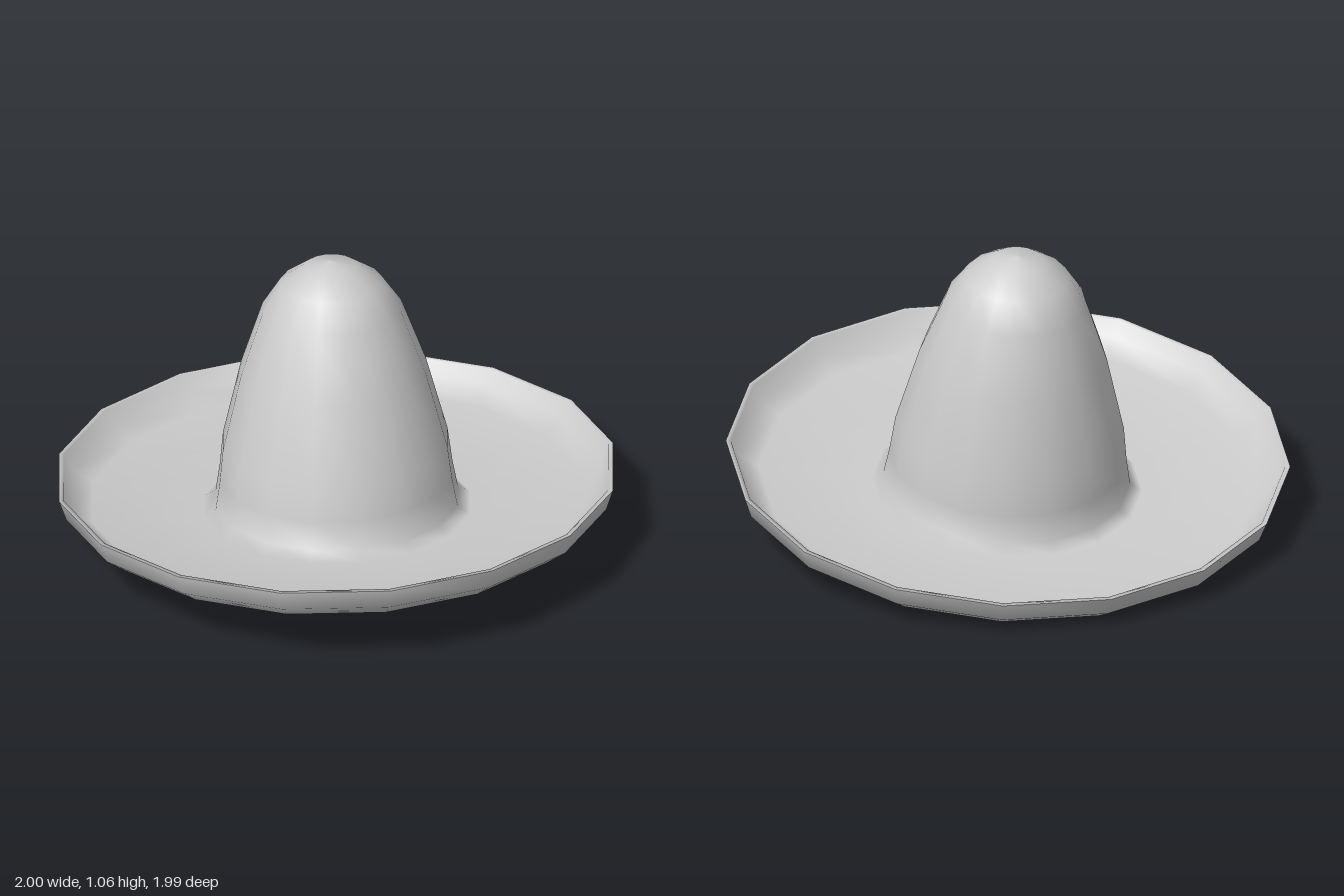
import * as THREE from 'three';

const SIDES = 16;
const TILT = -0.117;

export function createModel() {
  const group = new THREE.Group();
  const material = new THREE.MeshStandardMaterial({ color: 0xcccccc });

  // Each profile is a list of [radius, height] pairs measured from the rim plane
  const lathe = (name, profile) => {
    const points = profile.map(([r, y]) => new THREE.Vector2(r, y));
    const mesh = new THREE.Mesh(new THREE.LatheGeometry(points, SIDES), material);
    mesh.name = name;
    hat.add(mesh);
  };

  // The whole hat leans back a little, lifting the front of the brim
  const hat = new THREE.Group();
  hat.name = 'hat';
  hat.position.y = 0.235;
  hat.rotation.x = TILT;
  group.add(hat);

  // Underside: head hollow, flat brim bottom and upturned outer rim
  lathe('brimUnderside', [
    [0, 0.01], [0.13, 0], [0.26, -0.035], [0.35, -0.095], [0.4, -0.168],
    [0.9, -0.13], [0.975, -0.075], [1, 0],
  ]);

  // Upper side: rim lip, dished brim, fillet and rounded tapering crown
  lathe('crownAndBrimTop', [
    [1, 0], [0.982, 0], [0.955, -0.055], [0.88, -0.1],
    [0.48, -0.13], [0.437, -0.1], [0.42, 0], [0.405, 0.13],
    [0.333, 0.415], [0.25, 0.65], [0.183, 0.75], [0.09, 0.815], [0, 0.832],
  ]);

  return group;
}
